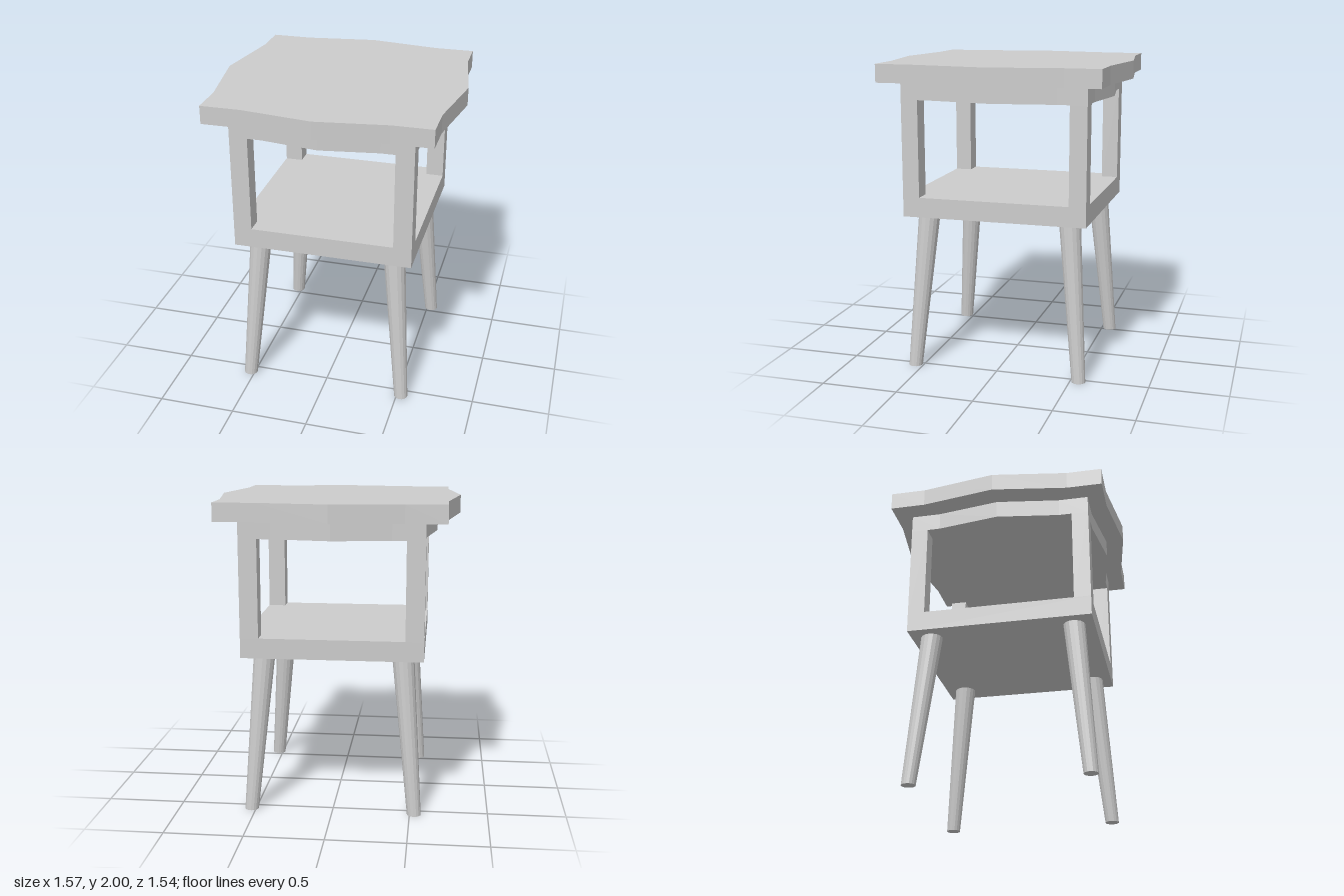
import * as THREE from 'three';

const mat = new THREE.MeshStandardMaterial({ color: 0xcccccc, flatShading: true });

// Rectangular plate whose four edges bow outwards to a central point
function bowedPlate(name, cx, cz, bowX, bowZ, kneeX, kneeZ, y0, y1) {
  const outline = [
    [cx, -cz], [cx, -kneeZ], [bowX, 0], [cx, kneeZ],
    [cx, cz], [kneeX, cz], [0, bowZ], [-kneeX, cz],
    [-cx, cz], [-cx, kneeZ], [-bowX, 0], [-cx, -kneeZ],
    [-cx, -cz], [-kneeX, -cz], [0, -bowZ], [kneeX, -cz],
  ].map(([x, z]) => new THREE.Vector2(x, z));
  const geo = new THREE.ExtrudeGeometry(new THREE.Shape(outline), { depth: y1 - y0, bevelEnabled: false });
  geo.rotateX(-Math.PI / 2).translate(0, y0, 0);
  const mesh = new THREE.Mesh(geo, mat);
  mesh.name = name;
  return mesh;
}

function box(name, w, h, d, x, y, z) {
  const mesh = new THREE.Mesh(new THREE.BoxGeometry(w, h, d), mat);
  mesh.name = name;
  mesh.position.set(x, y, z);
  return mesh;
}

// Tapered leg, sheared outwards so both ends stay level
function leg(name, sx, sz) {
  const h = 1.02;
  const geo = new THREE.CylinderGeometry(0.07, 0.045, h, 16).translate(0, h / 2, 0);
  const p = geo.attributes.position;
  for (let i = 0; i < p.count; i++) {
    const t = p.getY(i) / h;
    p.setX(i, p.getX(i) + sx * THREE.MathUtils.lerp(0.528, 0.443, t));
    p.setZ(i, p.getZ(i) + sz * THREE.MathUtils.lerp(0.554, 0.468, t));
  }
  geo.computeVertexNormals();
  const mesh = new THREE.Mesh(geo, mat);
  mesh.name = name;
  return mesh;
}

export function createModel() {
  const table = new THREE.Group();
  table.name = 'sideTable';

  // Table top and the smaller apron plate beneath it
  table.add(bowedPlate('tableTop', 0.705, 0.707, 0.783, 0.77, 0.45, 0.48, 1.885, 2));
  table.add(bowedPlate('apron', 0.575, 0.597, 0.638, 0.652, 0.37, 0.405, 1.77, 1.885));

  // Lower shelf
  table.add(box('shelf', 1.15, 0.128, 1.194, 0, 1.084, 0));

  // Corner posts and splayed legs
  for (const sx of [-1, 1]) {
    for (const sz of [-1, 1]) {
      const corner = (sz > 0 ? 'front' : 'back') + (sx > 0 ? 'Left' : 'Right');
      table.add(box(corner + 'Post', 0.116, 0.622, 0.109, sx * 0.517, 1.459, sz * 0.5425));
      table.add(leg(corner + 'Leg', sx, sz));
    }
  }
  return table;
}
